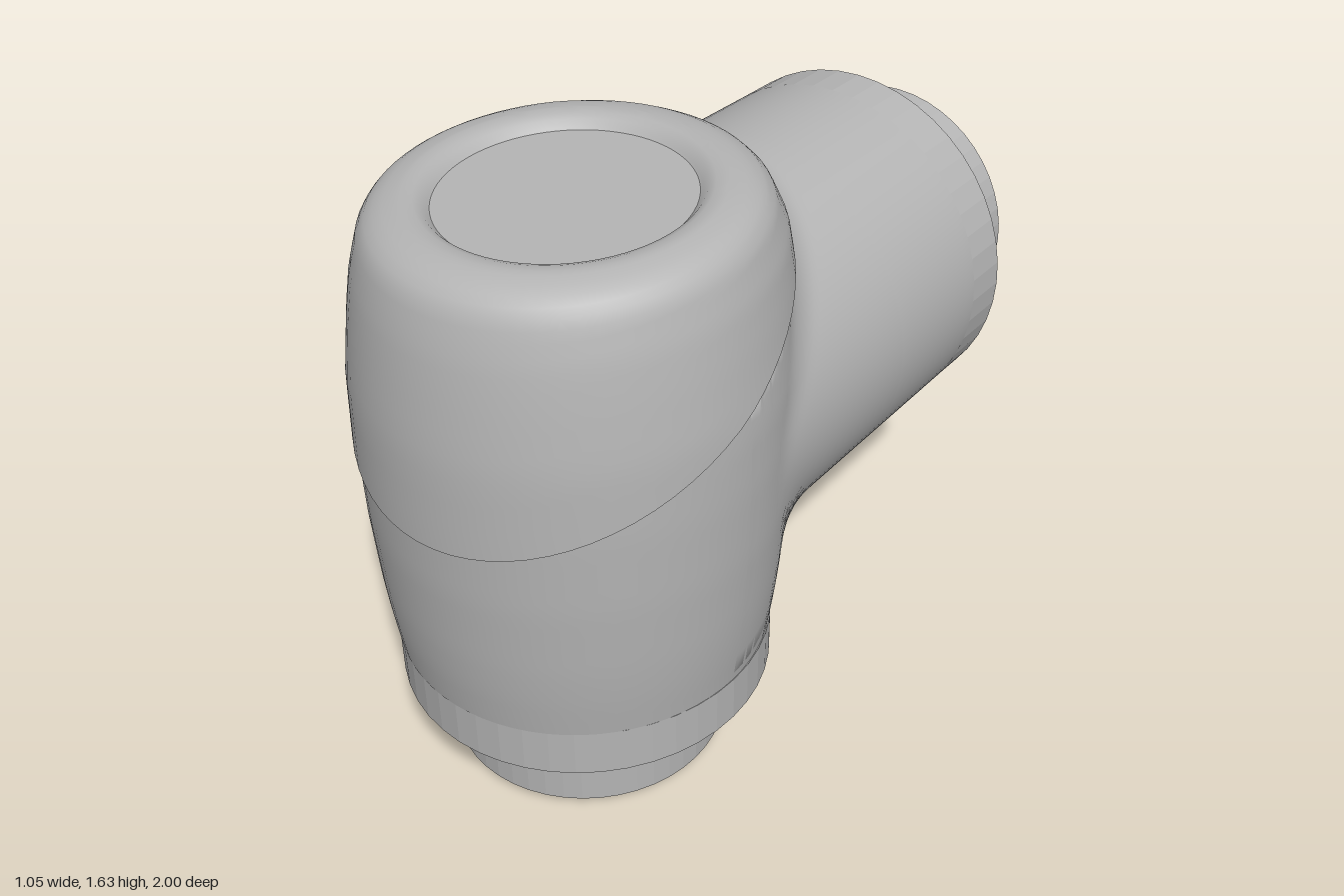
import * as THREE from 'three';
import { toCreasedNormals } from 'three/addons/utils/BufferGeometryUtils.js';

const BODY_Z = 0.465; // upright axis
const ARM_Y = 0.97;   // axis of the rear arm
const clamp01 = (v) => Math.min(1, Math.max(0, v));

// Piecewise linear lookup in a list of [key, value] pairs
function lookup(points, k) {
  if (k <= points[0][0]) return points[0][1];
  for (let i = 1; i < points.length; i++) {
    const [a, va] = points[i - 1], [b, vb] = points[i];
    if (k <= b) return va + (vb - va) * (k - a) / (b - a);
  }
  return points[points.length - 1][1];
}

// Skin of closed loops: fn(row, angle) returns [x, y, z]
function skin(rows, cols, fn) {
  const pos = [], idx = [];
  for (let i = 0; i < rows; i++)
    for (let j = 0; j < cols; j++) pos.push(...fn(i, j / cols * Math.PI * 2));
  for (let i = 0; i < rows - 1; i++)
    for (let j = 0; j < cols; j++) {
      const a = i * cols + j, b = i * cols + (j + 1) % cols;
      idx.push(a, b, a + cols, b, b + cols, a + cols);
    }
  const g = new THREE.BufferGeometry();
  g.setAttribute('position', new THREE.Float32BufferAttribute(pos, 3));
  g.setIndex(idx);
  g.computeVertexNormals();
  return g;
}

// Slanted seam under the cap, and the gently sloping cap top
const seamY = (z) => 0.93 + (1 - z) * 0.538;
const topY = (z) => 1.61 - 0.064 * (z - 0.46);

const bodyProfile = [[0.39, 0.483], [0.5, 0.498], [0.6, 0.508], [0.8, 0.521],
  [1.0, 0.526], [1.15, 0.524], [1.3, 0.51], [1.5, 0.49]];
const bodyRadius = (y) => lookup(bodyProfile, y);

// Distance to the upright body joined to the arm by a round fillet
function elbow(x, y, z) {
  const ax = x / (1 + 0.03 * (z + 0.61)), ay = y - ARM_Y, bz = z - BODY_Z;
  const la = Math.hypot(ax, ay), lb = Math.hypot(x, bz);
  const a = la - 0.485, b = lb - bodyRadius(y);
  const parallel = Math.abs(ax * x) / (la * lb + 1e-6);
  const k = 0.15 * (1 - parallel);
  return Math.max(k, Math.min(a, b)) - Math.hypot(Math.max(k - a, 0), Math.max(k - b, 0));
}

function armGeometry() {
  const rows = 44;
  return skin(rows, 96, (i, t) => {
    const u = i / (rows - 1);
    const z = u < 0.25 ? -0.61 + u / 0.25 * 0.37 : -0.24 + 0.705 * ((u - 0.25) / 0.75) ** 1.5;
    const c = Math.cos(t), s = Math.sin(t);
    let lo = 0.3, hi = 0.9;
    if (s < 0) hi = Math.min(hi, (ARM_Y - 0.39) / -s);
    if (s > 0) hi = Math.min(hi, (seamY(z) + 0.01 - ARM_Y) / s);
    lo = Math.min(lo, hi);
    for (let n = 0; n < 24; n++) {
      const m = (lo + hi) / 2;
      if (elbow(c * m, ARM_Y + s * m, z) < 0) lo = m; else hi = m;
    }
    return [c * lo, ARM_Y + s * lo, z];
  });
}

function bodyGeometry() {
  const rows = 16;
  return skin(rows, 72, (i, t) => {
    const end = seamY(BODY_Z + 0.52 * Math.cos(t)) + 0.015;
    const y = 0.39 + (end - 0.39) * i / (rows - 1);
    const r = bodyRadius(y);
    return [r * Math.sin(t), y, BODY_Z + r * Math.cos(t)];
  });
}

// Cap: wall radius by depth below the top, then rim and shallow dish
const capProfile = [[0, 0.36], [0.004, 0.39], [0.012, 0.415], [0.03, 0.443], [0.06, 0.464],
  [0.15, 0.49], [0.25, 0.507], [0.4, 0.527], [0.6, 0.533], [0.7, 0.535]];
const dish = [[0.335, 0.003], [0.318, 0.01], [0.305, 0.025], [0.3, 0.03], [0, 0.03]];

function capGeometry() {
  const wall = 18;
  const g = skin(1 + wall + dish.length, 72, (i, t) => {
    const c = Math.cos(t), rim = BODY_Z + 0.53 * c;
    const deepest = topY(rim) - seamY(rim);
    let r, d;
    if (i <= wall) {
      d = deepest * (1 - Math.max(0, i - 1) / (wall - 1)) ** 2;
      r = lookup(capProfile, d) + 0.035 * clamp01(d / 0.14) * Math.max(0, -c) ** 2;
      if (i === 0) r -= 0.03; // underside lip
    } else [r, d] = dish[i - wall - 1];
    const z = BODY_Z + r * c;
    return [r * Math.sin(t), topY(z) - d, z];
  });
  return toCreasedNormals(g, 0.7);
}

// Stepped end: collar, thin ring, plug and end disc, built down from y = 0.39
const steps = [['collar', 0.485, 0.26, 0.39], ['ring', 0.45, 0.23, 0.27],
  ['plug', 0.365, 0.035, 0.24], ['endDisc', 0.265, 0, 0.045]];

function steppedEnd(name, material) {
  const group = new THREE.Group();
  group.name = name;
  for (const [part, r, y0, y1] of steps) {
    const m = new THREE.Mesh(toCreasedNormals(new THREE.CylinderGeometry(r, r, y1 - y0, 48), 0.1), material);
    m.position.y = (y0 + y1) / 2;
    m.name = part;
    group.add(m);
  }
  return group;
}

export function createModel() {
  const model = new THREE.Group();
  model.name = 'elbowJoint';
  const grey = new THREE.MeshStandardMaterial({ color: 0xb4b4b4 });
  grey.name = 'grey';

  const add = (name, geometry) => {
    const m = new THREE.Mesh(geometry, grey);
    m.name = name;
    model.add(m);
  };
  add('uprightBody', bodyGeometry());
  add('rearArm', armGeometry());
  add('cap', capGeometry());

  const bottom = steppedEnd('bottomEnd', grey);
  bottom.position.z = BODY_Z - 0.003;
  const rear = steppedEnd('rearEnd', grey);
  rear.rotation.x = Math.PI / 2; // its y axis now points to +z
  rear.position.set(0, ARM_Y, -1);
  model.add(bottom, rear);
  return model;
}
